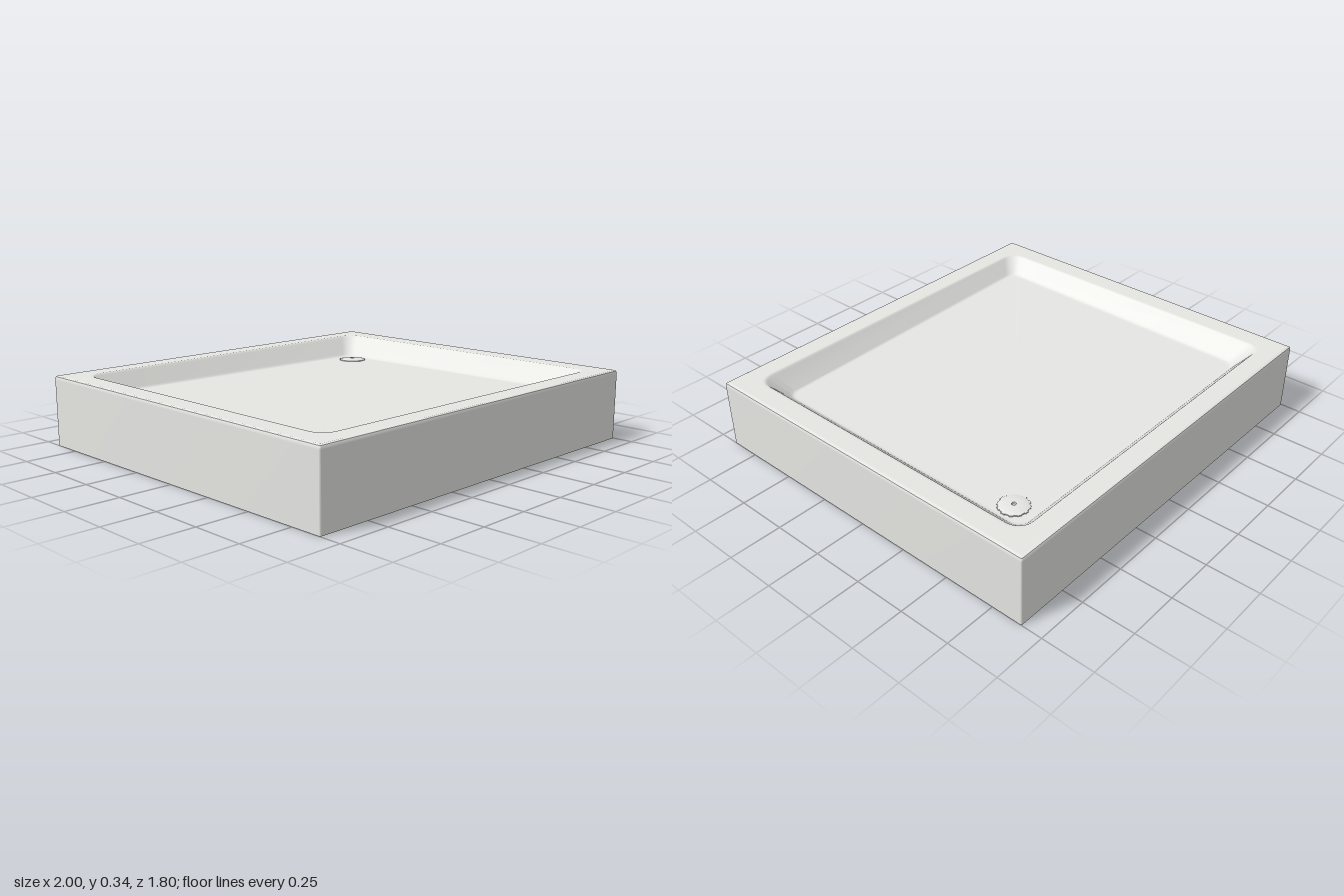
import * as THREE from 'three';
import { toCreasedNormals } from 'three/addons/utils/BufferGeometryUtils.js';

const RIM_Y = 0.34;
const DEPTH = 0.09;
const DRAIN = { x: 0.7, z: -0.6 };

// Closed loop of points around a rounded rectangle, running from +x towards +z
function ring(hx, hz, r, y) {
  const points = [];
  const steps = 6;
  [[1, 1], [-1, 1], [-1, -1], [1, -1]].forEach(([sx, sz], corner) => {
    for (let i = 0; i <= steps; i++) {
      const a = (corner + i / steps) * Math.PI / 2;
      points.push(new THREE.Vector3(
        sx * (hx - r) + r * Math.cos(a), y, sz * (hz - r) + r * Math.sin(a)));
    }
  });
  return points;
}

// Skin a list of loops and close the last one with a fan
function loft(rings, centre, inward = false) {
  const positions = [];
  const triangle = (a, b, c) => {
    for (const p of inward ? [a, c, b] : [a, b, c]) positions.push(p.x, p.y, p.z);
  };
  const n = rings[0].length;
  for (let i = 0; i < rings.length; i++) {
    for (let j = 0; j < n; j++) {
      const k = (j + 1) % n;
      const a = rings[i][j], b = rings[i][k];
      if (i === rings.length - 1) {
        triangle(a, centre, b);
      } else {
        const c = rings[i + 1][j], d = rings[i + 1][k];
        triangle(a, c, b);
        triangle(b, c, d);
      }
    }
  }
  const geometry = new THREE.BufferGeometry();
  geometry.setAttribute('position', new THREE.Float32BufferAttribute(positions, 3));
  geometry.computeVertexNormals();
  return toCreasedNormals(geometry, 0.6);
}

// The floor falls slightly towards the drain corner
const fall = (x, z) => 0.01 * x - 0.006 * z;
const floorY = (x, z) => RIM_Y - DEPTH - fall(x, z);

function trayGeometry() {
  // Foot edge, outer walls and softened top edge
  const rings = [
    ring(0.97, 0.87, 0.006, 0),
    ring(1, 0.9, 0.006, 0),
    ring(1, 0.9, 0.006, 0.32),
    ring(1, 0.9, 0.006, 0.328),
    ring(0.997, 0.897, 0.006, 0.336),
    ring(0.99, 0.89, 0.006, RIM_Y),
    ring(0.98, 0.88, 0.006, RIM_Y),
  ];
  // Basin wall: [fraction inward, fraction downward]
  const profile = [[-0.1, 0], [0, 0], [0.06, 0.03], [0.12, 0.1], [0.84, 0.87],
    [0.91, 0.95], [0.99, 0.99], [1.08, 1], [1.16, 1]];
  const top = ring(0.89, 0.8, 0.075, RIM_Y);
  const bottom = ring(0.795, 0.715, 0.055, 0);
  for (const [u, v] of profile) {
    rings.push(top.map((p, i) => {
      const q = bottom[i];
      const shrink = 1 - 1.1 * fall(q.x, q.z);
      const x = THREE.MathUtils.lerp(p.x, q.x * shrink, u);
      const z = THREE.MathUtils.lerp(p.z, q.z * shrink, u);
      return new THREE.Vector3(x, THREE.MathUtils.lerp(RIM_Y, floorY(x, z), v), z);
    }));
  }
  return loft(rings, new THREE.Vector3(0, floorY(0, 0), 0));
}

// Inside of the skirt and the underside of the basin
function linerGeometry() {
  return loft([
    ring(0.97, 0.87, 0.006, 0),
    ring(0.97, 0.87, 0.006, 0.3),
    ring(0.92, 0.83, 0.05, 0.3),
    ring(0.88, 0.79, 0.05, 0.14),
  ], new THREE.Vector3(0, 0.14, 0), true);
}

// Support block with a round pocket cut out of the drain corner
function blockGeometry() {
  const hx = 0.89, hz = 0.775, r = 0.296, height = 0.138;
  const start = Math.acos((hx - DRAIN.x) / r);
  const end = Math.PI + Math.asin((hz + DRAIN.z) / r);
  const shape = new THREE.Shape();
  shape.moveTo(DRAIN.x + r * Math.cos(end), -hz);
  shape.lineTo(-hx, -hz);
  shape.lineTo(-hx, hz);
  shape.lineTo(hx, hz);
  shape.lineTo(hx, DRAIN.z + r * Math.sin(start));
  shape.absarc(DRAIN.x, DRAIN.z, r, start, end, false);
  const geometry = new THREE.ExtrudeGeometry(shape,
    { depth: height, bevelEnabled: false, curveSegments: 32 });
  geometry.rotateX(Math.PI / 2).translate(0, height + 0.004, 0);
  return toCreasedNormals(geometry, 0.5);
}

export function createModel() {
  const white = new THREE.MeshStandardMaterial({ color: 0xe6e6e3 });
  white.name = 'white acrylic';
  const beige = new THREE.MeshStandardMaterial({ color: 0xe6dcc3 });
  beige.name = 'beige backing';

  const model = new THREE.Group();
  model.name = 'showerTray';
  const add = (name, geometry, material, parent = model) => {
    const mesh = new THREE.Mesh(geometry, material);
    mesh.name = name;
    parent.add(mesh);
    return mesh;
  };

  add('tray', trayGeometry(), white);
  add('backing', linerGeometry(), beige);
  add('supportBlock', blockGeometry(), white);

  // Domed drain cover with a centre hole and small ribs round its edge
  const drain = new THREE.Group();
  drain.name = 'drain';
  drain.position.set(DRAIN.x, floorY(DRAIN.x, DRAIN.z), DRAIN.z);
  model.add(drain);
  const dome = [[0.066, -0.002], [0.066, 0.004], [0.055, 0.007], [0.035, 0.01],
    [0.01, 0.011], [0.01, 0.001]].map(([x, y]) => new THREE.Vector2(x, y));
  add('drainCover', toCreasedNormals(new THREE.LatheGeometry(dome, 36), 0.6), white, drain);
  for (let i = 0; i < 12; i++) {
    const a = i / 12 * Math.PI * 2;
    const rib = add('drainRib', new THREE.BoxGeometry(0.01, 0.006, 0.018), white, drain);
    rib.position.set(0.065 * Math.cos(a), 0.001, 0.065 * Math.sin(a));
    rib.rotation.y = -a;
  }

  // Waste outlet under the basin
  const outlet = add('wasteOutlet', new THREE.CylinderGeometry(0.095, 0.095, 0.06, 32), beige);
  outlet.position.set(DRAIN.x, 0.165, DRAIN.z);
  return model;
}
